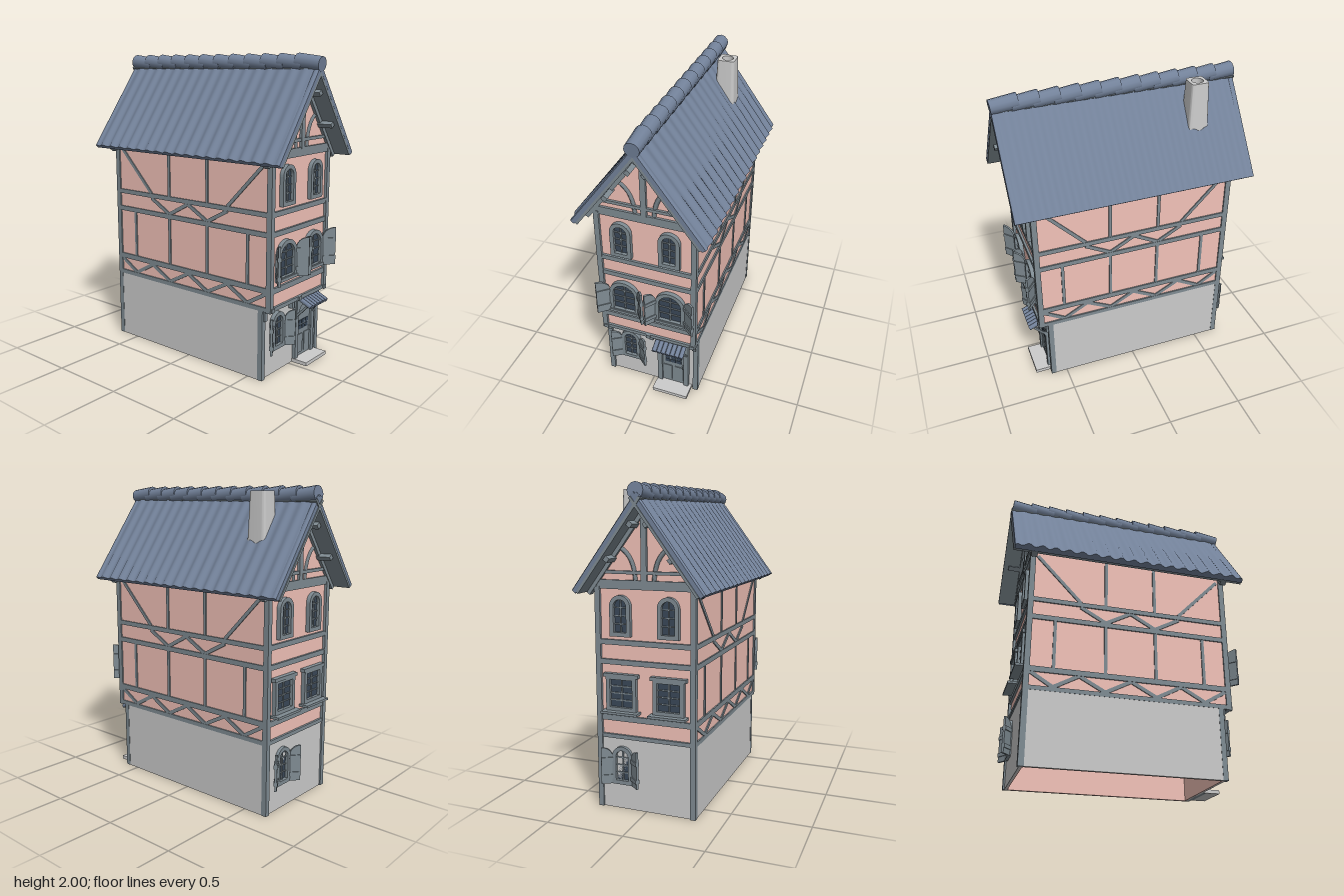
import * as THREE from 'three';
import { toCreasedNormals } from 'three/addons/utils/BufferGeometryUtils.js';

const mat = (color) => new THREE.MeshStandardMaterial({ color, side: THREE.DoubleSide });
const STONE = mat(0xcccccc), PLASTER = mat(0xf2c2b8), WOOD = mat(0x7f8b92);
const TILE = mat(0x73829a), GLASS = mat(0x3a4858);

function add(parent, name, geo, material, x = 0, y = 0, z = 0) {
  const m = new THREE.Mesh(geo, material);
  m.name = name;
  m.position.set(x, y, z);
  parent.add(m);
  return m;
}
const box = (parent, name, material, w, h, d, x, y, z) =>
  add(parent, name, new THREE.BoxGeometry(w, h, d), material, x, y, z);
const extrude = (shape, depth) =>
  new THREE.ExtrudeGeometry(shape, { depth, bevelEnabled: false, curveSegments: 8 });
function group(parent, name, x = 0, y = 0, z = 0, ry = 0) {
  const g = new THREE.Group();
  g.name = name;
  g.position.set(x, y, z);
  g.rotation.y = ry;
  parent.add(g);
  return g;
}
// Straight timber between two points on a wall face
function timber(parent, x1, y1, x2, y2, w = 0.025, d = 0.03, name = 'timber') {
  const m = box(parent, name, WOOD, Math.hypot(x2 - x1, y2 - y1), w, d, (x1 + x2) / 2, (y1 + y2) / 2, 0);
  m.rotation.z = Math.atan2(y2 - y1, x2 - x1);
  return m;
}
// Opening outline: rectangle, with a round head if round is true
function outline(w, h, round, inset = 0, C = THREE.Shape) {
  const s = new C(), a = w / 2 - inset, top = h - inset;
  s.moveTo(-a, inset);
  s.lineTo(a, inset);
  if (round) {
    s.lineTo(a, top - a);
    s.absarc(0, top - a, a, 0, Math.PI, false);
  } else { s.lineTo(a, top); s.lineTo(-a, top); }
  s.closePath();
  return s;
}
function makeWindow(parent, x, y, w, h, round, rows, t = 0.026) {
  const g = group(parent, 'window', x, y, 0);
  const frame = outline(w, h, round);
  frame.holes.push(outline(w, h, round, t, THREE.Path));
  add(g, 'windowFrame', extrude(frame, 0.04), WOOD, 0, 0, -0.012);
  add(g, 'glass', extrude(outline(w, h, round, t * 0.8), 0.04), GLASS, 0, 0, -0.033);
  box(g, 'mullion', WOOD, 0.008, h - t, 0.012, 0, h / 2, 0.009);
  for (let i = 1; i <= rows; i++)
    box(g, 'glazingBar', WOOD, w - t * 1.5, 0.007, 0.01, 0, t + (h - 2 * t) * i / (rows + 1), 0.009);
  return g;
}
// Opened shutter; s = side of the window it hangs on
function shutter(win, s, hinge, w, h, angle) {
  const g = group(win, 'shutter', s * hinge, 0, 0.02, -s * angle);
  const p = new THREE.Shape();
  p.moveTo(0, 0);
  p.lineTo(s * w, 0);
  p.lineTo(s * w, h);
  p.quadraticCurveTo(s * w * 0.25, h, 0, h * 0.78);
  p.closePath();
  add(g, 'shutterBoard', extrude(p, 0.014), WOOD, 0, 0, -0.007);
  for (const f of [0.2, 0.68]) box(g, 'shutterBatten', WOOD, w, 0.025, 0.026, s * w / 2, h * f, 0);
}
// Wall with a pointed gable, from y0 up to the roof
function gableWall(y0) {
  const p = new THREE.Shape();
  [[-0.315, y0], [0.315, y0], [0.315, 1.44], [0, 1.86], [-0.315, 1.44]]
    .forEach(([x, y], i) => (i ? p.lineTo(x, y) : p.moveTo(x, y)));
  return extrude(p, 0.012);
}

// Timbers, windows and gable decoration shared by both ends
function gableEnd(parent, name, z, ry) {
  const g = group(parent, name, 0, 0, z, ry);
  for (const [y, h] of [[0.47, 0.025], [0.588, 0.035], [0.94, 0.032], [1.062, 0.032], [1.412, 0.055], [1.485, 0.02]])
    box(g, 'crossBeam', WOOD, y > 1.45 ? 0.56 : 0.64, h, 0.03, 0, y, 0);
  box(g, 'gablePost', WOOD, 0.036, 0.46, 0.034, 0, 1.65, 0);
  for (const s of [-1, 1]) {
    const curve = new THREE.QuadraticBezierCurve3(new THREE.Vector3(s * 0.06, 1.43, 0),
      new THREE.Vector3(s * 0.065, 1.6, 0), new THREE.Vector3(s * 0.18, 1.64, 0));
    add(g, 'curvedBrace', new THREE.TubeGeometry(curve, 10, 0.014, 4), WOOD);
    timber(g, 0, 1.85, s * 0.37, 1.355, 0.035, 0.04, 'gableRafter');
    for (const [x, y] of [[0.05, 1.765], [0.2, 1.565]])
      box(g, 'purlinEnd', WOOD, 0.03, 0.03, 0.1, s * x, y, 0.05).rotation.z = -s * 0.93;
    makeWindow(g, s * 0.155, 1.1, 0.135, 0.25, true, 3);
  }
  return g;
}

function sideWall(parent, s) {
  const g = group(parent, s > 0 ? 'leftWall' : 'rightWall', s * 0.31, 0, 0, s * Math.PI / 2);
  box(g, 'sidePlaster', PLASTER, 1.3, 0.98, 0.012, 0, 0.95, 0);
  const back = s * 0.03;
  box(g, 'innerLining', PLASTER, 1.24, 0.46, 0.008, back, 0.23, -0.004);
  box(g, 'groundFloorWall', STONE, 1.24, 0.46, 0.014, back, 0.23, 0.006);
  for (const [y, h] of [[0.472, 0.028], [0.592, 0.035], [0.94, 0.032], [1.062, 0.03]])
    box(g, 'sideRail', WOOD, 1.3, h, 0.03, 0, y, 0);
  for (const m of [-1, 1]) {
    for (const x of [0.165, 0.49]) timber(g, m * x, 0.6, m * x, 0.93, 0.02, 0.026, 'stud');
    timber(g, m * 0.165, 1.07, m * 0.165, 1.43, 0.02, 0.026, 'stud');
    timber(g, m * 0.62, 1.375, m * 0.33, 1.075, 0.022, 0.026, 'brace');
    // Zigzag braces
    const low = [[0, 0.575], [0.165, 0.487], [0.33, 0.575], [0.49, 0.487], [0.635, 0.575]];
    const high = [[0, 1.045], [0.165, 0.955], [0.33, 1.045]];
    for (const zig of [low, high])
      for (let i = 1; i < zig.length; i++)
        timber(g, m * zig[i - 1][0], zig[i - 1][1], m * zig[i][0], zig[i][1], 0.024, 0.026, 'zigzagBrace');
  }
}

// One roof slope: wavy tiles on a boarded underside
function roofSlope(parent, s) {
  const L = 0.704, n = 18 * 8, H = 0.78;
  const g = group(parent, s > 0 ? 'leftRoofSlope' : 'rightRoofSlope', 0, 1.95, 0);
  const down = new THREE.Vector3(s * 0.597, -0.803, 0), up = new THREE.Vector3(s * 0.803, 0.597, 0);
  g.quaternion.setFromRotationMatrix(new THREE.Matrix4().makeBasis(up.clone().cross(down), up, down));
  const p = new THREE.Shape();
  p.moveTo(-H, -0.036);
  p.lineTo(H, -0.036);
  for (let i = 0; i <= n; i++) {
    const x = H - 2 * H * i / n, edge = Math.max(0, Math.abs(x) - H + 0.035) / 0.035;
    p.lineTo(x, 0.009 * Math.cos(i * Math.PI / 4) - 0.018 * edge * edge);
  }
  p.closePath();
  const geo = extrude(p, L), a = geo.attributes.position;
  // Waves flatten towards the ridge
  for (let i = 0; i < a.count; i++)
    if (a.getZ(i) < 0.01 && Math.abs(a.getX(i)) < H - 0.04 && a.getY(i) > -0.03) a.setY(i, a.getY(i) * 0.2);
  add(g, 'roofTiles', toCreasedNormals(geo, 0.7), TILE);
  box(g, 'roofBoards', WOOD, 1.565, 0.016, L - 0.02, s * 0.003, -0.044, L / 2);
}

export function createModel() {
  const house = new THREE.Group();
  house.name = 'townHouse';

  // Walls
  add(house, 'frontPlaster', gableWall(0.46), PLASTER, 0, 0, 0.64);
  add(house, 'backPlaster', gableWall(0.46), PLASTER, 0, 0, -0.652);
  box(house, 'overhangFloor', PLASTER, 0.63, 0.012, 0.07, 0, 0.466, 0.615);
  for (const [z, d] of [[0.588, 1], [-0.652, -1]]) {
    box(house, 'groundFloorWall', STONE, 0.62, 0.46, 0.014, 0, 0.23, z);
    box(house, 'innerLining', PLASTER, 0.61, 0.46, 0.006, 0, 0.23, z - d * 0.01);
  }
  for (const s of [-1, 1]) {
    sideWall(house, s);
    roofSlope(house, s);
    box(house, 'lowerCornerPost', WOOD, 0.034, 0.47, 0.034, s * 0.308, 0.235, 0.594);
    box(house, 'upperCornerPost', WOOD, 0.034, 0.95, 0.036, s * 0.308, 0.93, 0.652);
    box(house, 'backCornerPost', WOOD, 0.034, 1.4, 0.036, s * 0.308, 0.7, -0.652);
  }

  // Front
  const front = gableEnd(house, 'frontGable', 0.652, 0);
  for (const s of [-1, 1]) {
    const w = makeWindow(front, s * 0.155, 0.635, 0.2, 0.255, true, 3);
    box(w, 'windowSill', WOOD, 0.2, 0.02, 0.05, 0, 0.01, 0.01);
    shutter(w, s, 0.1, 0.09, 0.25, 0.7);
    shutter(w, -s, 0.1, 0.08, 0.25, 0.95);
  }
  const ground = group(house, 'frontGroundFloor', 0, 0, 0.595);
  for (const x of [-0.3, 0, 0.3]) {
    box(ground, 'overhangBracket', WOOD, 0.024, 0.08, 0.03, x, 0.43, 0.014);
    box(ground, 'joistEnd', WOOD, 0.03, 0.025, 0.085, x, 0.47, 0.04);
  }

  // Back
  const back = gableEnd(house, 'backGable', -0.652, Math.PI);
  for (const s of [-1, 1]) {
    const w = makeWindow(back, s * 0.155, 0.635, 0.2, 0.225, false, 3);
    box(w, 'windowSill', WOOD, 0.24, 0.015, 0.07, 0, -0.004, 0.03);
    box(w, 'windowHead', WOOD, 0.23, 0.022, 0.045, 0, 0.225, 0.01);
  }
  for (const face of [ground, back]) {
    const w = makeWindow(face, -0.155, 0.165, 0.135, 0.245, true, 3);
    shutter(w, -1, 0.067, 0.072, 0.235, 0.55);
    shutter(w, 1, 0.067, 0.072, 0.235, 0.7);
  }

  // Door with awning and step
  const door = group(ground, 'door', 0.15, 0, 0);
  const jamb = outline(0.22, 0.44, false);
  jamb.holes.push(outline(0.175, 0.4, true, 0.01, THREE.Path));
  add(door, 'doorFrame', extrude(jamb, 0.035), WOOD, 0, 0, -0.01);
  add(door, 'doorLeaf', extrude(outline(0.175, 0.4, true), 0.03), WOOD, 0, 0, -0.02);
  for (const x of [-0.04, 0, 0.04]) for (const y of [0.222, 0.257])
    box(door, 'doorPane', GLASS, 0.032, 0.028, 0.008, x, y, 0.009);
  for (const x of [-0.04, 0.04]) box(door, 'doorPanel', WOOD, 0.06, 0.13, 0.01, x, 0.11, 0.01);
  box(door, 'doorHandle', WOOD, 0.008, 0.03, 0.02, 0.07, 0.19, 0.016);
  box(house, 'doorstep', STONE, 0.245, 0.024, 0.125, 0.157, 0.012, 0.648);
  const awning = group(door, 'awning', 0, 0.425, 0.065);
  awning.rotation.x = 0.42;
  box(awning, 'awningBoard', WOOD, 0.21, 0.01, 0.13, 0, 0, 0);
  for (let i = 0; i < 7; i++) {
    const t = add(awning, 'awningTile', new THREE.CylinderGeometry(0.015, 0.015, 0.135, 8), TILE, -0.093 + i * 0.031, 0.006, 0);
    t.rotation.x = Math.PI / 2;
  }
  for (const s of [-1, 1]) {
    const strut = box(door, 'awningStrut', WOOD, 0.014, 0.12, 0.014, s * 0.095, 0.355, 0.055);
    strut.rotation.x = 0.75;
    box(door, 'awningPost', WOOD, 0.016, 0.13, 0.018, s * 0.095, 0.365, 0.02);
  }

  // Ridge tiles, each tipped up over the next
  for (let i = 0; i < 12; i++) {
    const geo = new THREE.CylinderGeometry(0.046, 0.05, 0.17, 12, 1, false, 0, Math.PI * 2);
    const t = add(house, 'ridgeTile', geo, TILE, 0, 1.944, -0.69 + i * 0.1265);
    t.rotation.x = Math.PI / 2 + 0.11;
  }

  // Tapered chimney with an open flue
  const ring = new THREE.Shape(), r = 0.056, c = 0.018;
  ring.moveTo(-r + c, -r);
  ring.lineTo(r - c, -r); ring.quadraticCurveTo(r, -r, r, -r + c);
  ring.lineTo(r, r - c); ring.quadraticCurveTo(r, r, r - c, r);
  ring.lineTo(-r + c, r); ring.quadraticCurveTo(-r, r, -r, r - c);
  ring.lineTo(-r, -r + c); ring.quadraticCurveTo(-r, -r, -r + c, -r);
  ring.holes.push(new THREE.Path().absarc(0, 0, 0.037, 0, Math.PI * 2, true));
  const stack = extrude(ring, 0.32), v = stack.attributes.position;
  for (let i = 0; i < v.count; i++) {
    const k = 1 + 0.2 * (1 - v.getZ(i) / 0.32);
    v.setXY(i, v.getX(i) * k, v.getY(i) * k);
  }
  add(house, 'chimney', toCreasedNormals(stack, 0.7), STONE, 0.14, 1.65, -0.47).rotation.x = -Math.PI / 2;
  box(house, 'flueFloor', STONE, 0.085, 0.01, 0.085, 0.14, 1.9, -0.47);

  return house;
}
